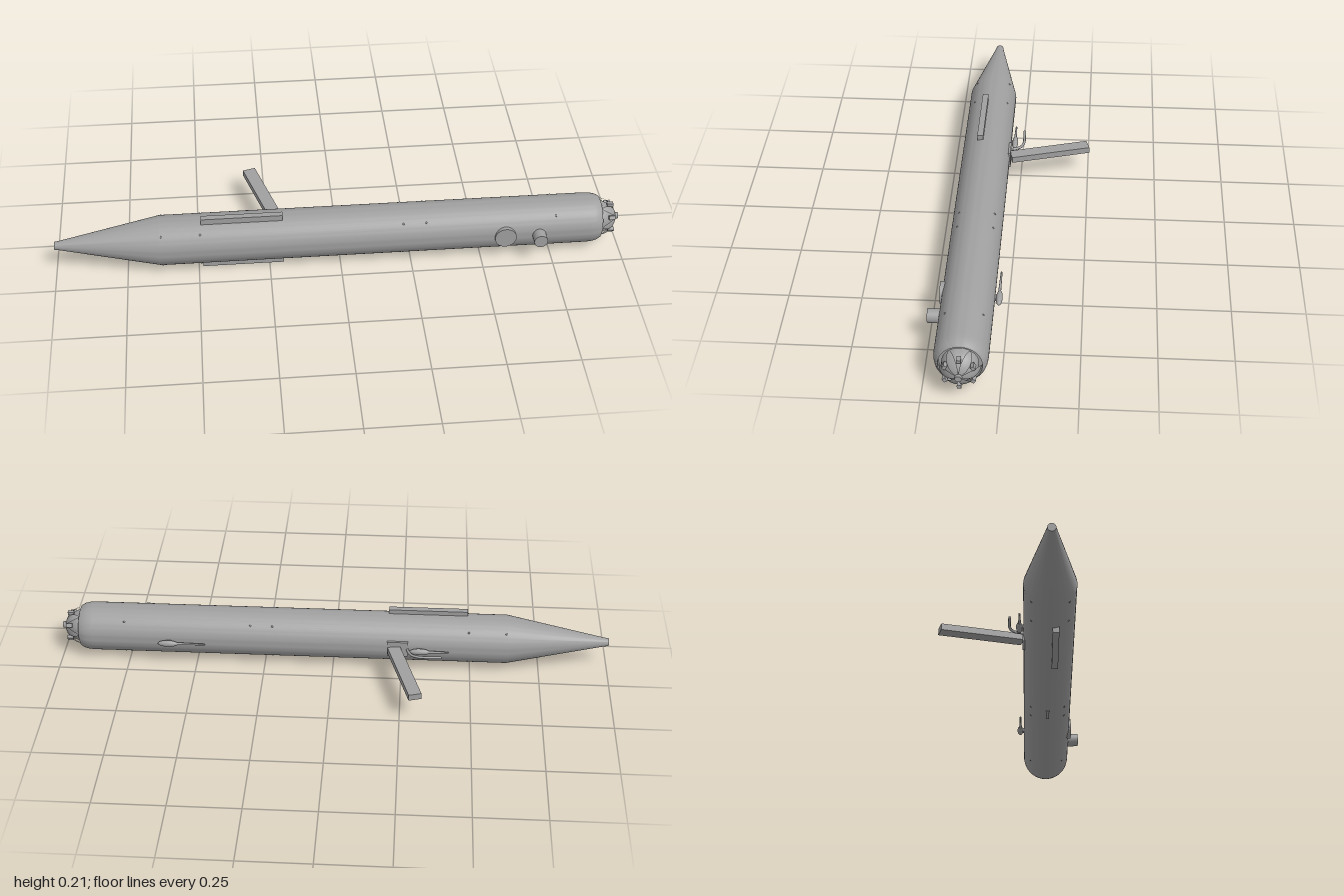
import * as THREE from 'three';
import { toCreasedNormals } from 'three/addons/utils/BufferGeometryUtils.js';

export function createModel() {
  const grey = new THREE.MeshStandardMaterial({ color: 0xa0a0a0 });
  grey.name = 'grey metal';
  const shell = new THREE.MeshStandardMaterial({ color: 0xa0a0a0, side: THREE.DoubleSide });
  shell.name = 'grey sheet metal';

  const model = new THREE.Group();
  model.name = 'spacecraft';
  // Everything is placed relative to the long axis of the hull
  const hull = new THREE.Group();
  hull.name = 'hullAssembly';
  hull.position.set(0, 0.104, 0.127);
  model.add(hull);

  const R = 0.088;
  const add = (name, geo, x = 0, y = 0, z = 0, mat = grey) => {
    const mesh = new THREE.Mesh(geo, mat);
    mesh.name = name;
    mesh.position.set(x, y, z);
    hull.add(mesh);
    return mesh;
  };
  const box = (name, w, h, d, x, y, z) => add(name, new THREE.BoxGeometry(w, h, d), x, y, z);
  const lathe = (pts, n = 64) => toCreasedNormals(
    new THREE.LatheGeometry(pts.map(([r, x]) => new THREE.Vector2(r, x)), n).rotateZ(-Math.PI / 2), 0.35);
  const zDisc = (r, d, n = 32) => new THREE.CylinderGeometry(r, r, d, n).rotateX(Math.PI / 2);

  // Body with tapered tail and a rounded, recessed front rim
  add('body', lathe([
    [0, -1], [0.014, -1], [0.016, -0.985], [R, -0.63], [R, 0.88], [0.0865, 0.9],
    [0.082, 0.917], [0.075, 0.929], [0.071, 0.931], [0.071, 0.905], [0, 0.905],
  ]));

  // Front dome
  const dome = [];
  for (let i = 0; i <= 12; i++) {
    const a = (i / 12) * Math.PI / 2;
    dome.push([0.06 * Math.cos(a), 0.92 + 0.062 * Math.sin(a)]);
  }
  add('dome', lathe(dome, 40));

  // Curved docking petals wrapped over the dome
  const petal = new THREE.PlaneGeometry(1, 1, 8, 12);
  const pos = petal.attributes.position;
  for (let i = 0; i < pos.count; i++) {
    const t = pos.getY(i) + 0.5;
    const polar = 0.16 + 1.3 * t;
    const phi = pos.getX(i) * 2 * 0.5 * Math.pow(1 - t, 0.7);
    const r = 0.068 * Math.sin(polar);
    pos.setXYZ(i, 0.922 + 0.068 * Math.cos(polar), r * Math.cos(phi), r * Math.sin(phi));
  }
  petal.computeVertexNormals();
  for (let i = 0; i < 6; i++) {
    const a = Math.PI / 2 + i * Math.PI / 3;
    add('dockingPetal', petal, 0, 0, 0, shell).rotation.x = a;
    // Latch blocks between the petals and the rim
    const latch = box('latch', 0.022, 0.012, 0.014, 0.967, 0.052 * Math.cos(a + Math.PI / 6), 0.052 * Math.sin(a + Math.PI / 6));
    latch.rotation.x = a + Math.PI / 6;
  }
  add('domeHub', new THREE.CylinderGeometry(0.012, 0.013, 0.022, 6).rotateZ(-Math.PI / 2), 0.989);

  // Long rails above and below
  for (const s of [1, -1]) box('rail', 0.285, 0.022, 0.022, -0.343, s * 0.093, 0.02);

  // Front hatch disc and camera barrel
  add('hatch', zDisc(0.038, 0.03), 0.58, 0, 0.08);
  add('cameraBarrel', zDisc(0.024, 0.056), 0.70, 0, 0.098);

  // Rear boom with its mounting plate
  const boom = box('boom', 0.046, 0.023, 0.295, -0.262, 0, -0.233);
  boom.rotation.y = 0.282;
  box('boomMount', 0.075, 0.06, 0.014, -0.235, 0, -0.084);

  // Rear pods: flattened rounded head with a slender stem
  const pod = (x, len) => {
    add('podHead', new THREE.SphereGeometry(1, 24, 16).scale(0.037, 0.012, 0.011), x, 0, -0.102);
    add('podStem', new THREE.CylinderGeometry(0.003, 0.005, len, 10).rotateZ(Math.PI / 2),
      x - 0.025 - len / 2, 0, -0.101);
    box('podFoot', 0.02, 0.012, 0.02, x, 0, -0.09);
  };
  pod(0.598, 0.11);
  pod(-0.315, 0.08);

  // Bent hook beside the boom
  const hook = new THREE.CatmullRomCurve3([
    [-0.39, 0, -0.134], [-0.31, 0, -0.134], [-0.285, 0, -0.122], [-0.275, 0, -0.105], [-0.27, 0, -0.085],
  ].map((p) => new THREE.Vector3(...p)));
  add('hook', new THREE.TubeGeometry(hook, 24, 0.005, 8));
  add('hookTip', new THREE.SphereGeometry(0.005, 10, 8), -0.39, 0, -0.134);

  // Small studs around the hull
  const stud = new THREE.SphereGeometry(0.004, 8, 6);
  for (const x of [-0.625, -0.49, 0.22, 0.3, 0.76]) {
    for (let i = 0; i < 4; i++) {
      const a = Math.PI / 4 + i * Math.PI / 2;
      add('stud', stud, x, 0.0865 * Math.sin(a), 0.0865 * Math.cos(a));
    }
  }
  box('bellyFitting', 0.07, 0.008, 0.012, 0.235, -0.087, 0);

  return model;
}
